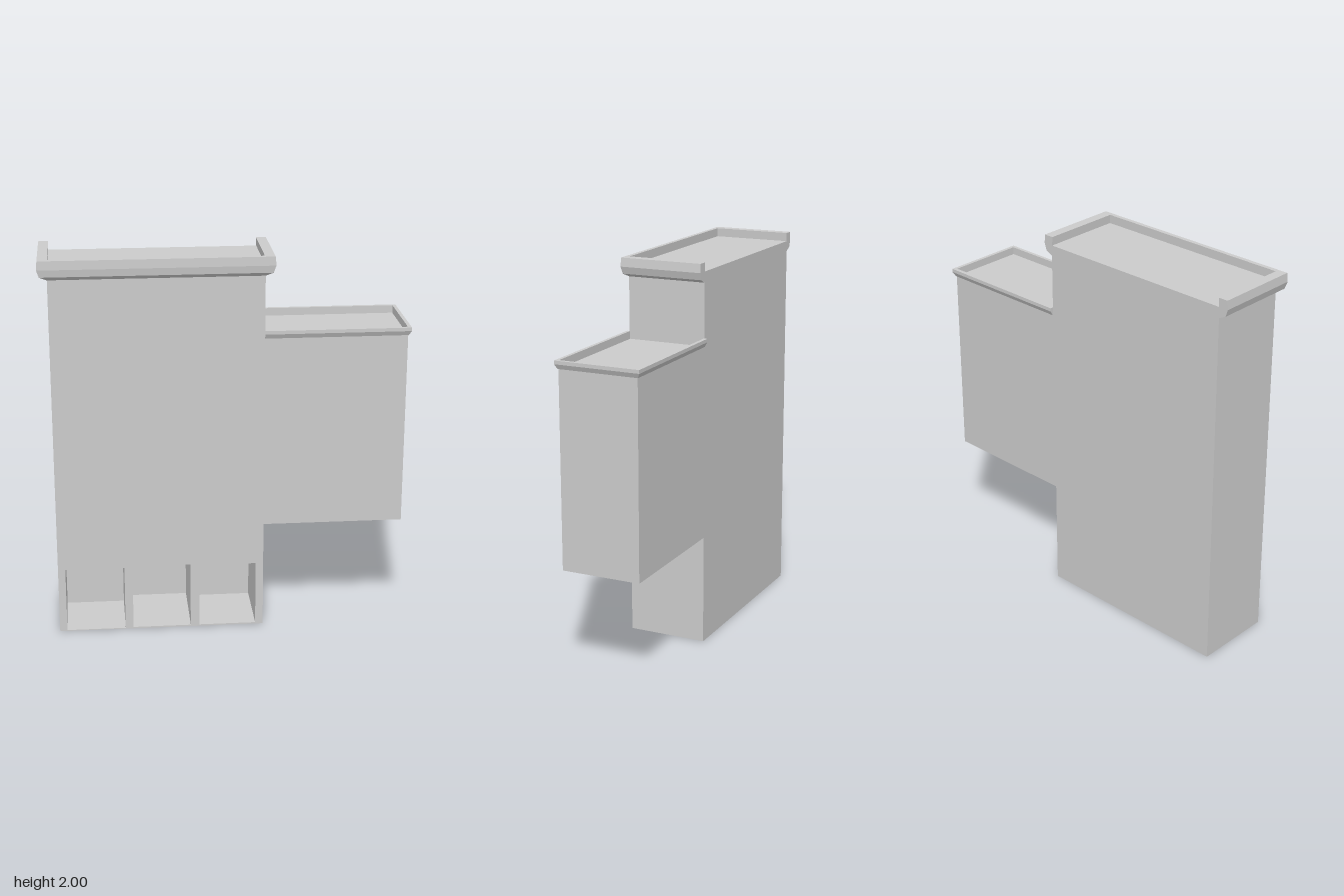
import * as THREE from 'three';

const BACK = -0.212, FRONT = 0.205;

// Sweeps a convex profile of [out, y] along a path of [x, z, outX, outZ] corners.
function sweep(path, profile) {
  const rings = path.map(([x, z, ox, oz]) =>
    profile.map(([o, y]) => [x + o * ox, y, z + o * oz]));
  const pos = [];
  const tri = (a, b, c) => pos.push(...a, ...b, ...c);
  const n = profile.length;
  for (let i = 0; i < rings.length - 1; i++) {
    for (let j = 0; j < n; j++) {
      const k = (j + 1) % n, p = rings[i], q = rings[i + 1];
      tri(p[j], q[j], q[k]);
      tri(p[j], q[k], p[k]);
    }
  }
  const s = rings[0], e = rings[rings.length - 1];
  for (let j = 1; j < n - 1; j++) {
    tri(s[0], s[j], s[j + 1]);
    tri(e[0], e[j + 1], e[j]);
  }
  const g = new THREE.BufferGeometry();
  g.setAttribute('position', new THREE.Float32BufferAttribute(pos, 3));
  g.computeVertexNormals();
  return g;
}

// Outline of the tall block with the overhanging wing
function outline() {
  return new THREE.Shape([
    [-0.88, 0], [0.193, 0], [0.193, 0.573], [0.917, 0.573],
    [0.917, 1.58], [0.193, 1.58], [0.193, 1.955], [-0.88, 1.955],
  ].map(([x, y]) => new THREE.Vector2(x, y)));
}

export function createModel() {
  const group = new THREE.Group();
  const material = new THREE.MeshStandardMaterial({ color: 0xcccccc, flatShading: true });
  const add = (name, geometry) => {
    const mesh = new THREE.Mesh(geometry, material);
    mesh.name = name;
    group.add(mesh);
    return mesh;
  };
  const extrude = (shape, z0, z1) =>
    new THREE.ExtrudeGeometry(shape, { depth: z1 - z0, bevelEnabled: false }).translate(0, 0, z0);

  // Ground-floor openings: x0, x1, y0, y1, z of the back wall
  const openings = [
    [-0.842, -0.535, 0.005, 0.352, -0.125],
    [-0.493, -0.19, 0.008, 0.358, -0.185],
    [-0.144, 0.153, 0.008, 0.352, -0.155],
  ];
  const slabZ = -0.185;

  // Building walls, pierced by the openings and closed by a back slab
  const pierced = outline();
  for (const [x0, x1, y0, y1, z] of openings) {
    pierced.holes.push(new THREE.Path([
      [x0, y0], [x0, y1], [x1, y1], [x1, y0],
    ].map(([x, y]) => new THREE.Vector2(x, y))));
    if (z > slabZ) {
      add('openingBack', new THREE.BoxGeometry(x1 - x0, y1 - y0, z - slabZ))
        .position.set((x0 + x1) / 2, (y0 + y1) / 2, (z + slabZ) / 2);
    }
  }
  add('building', extrude(pierced, slabZ, FRONT));
  add('backWall', extrude(outline(), BACK, slabZ));

  // Rounded parapet on three sides of the main roof, open at the back
  add('mainCornice', sweep(
    [[-0.88, BACK, -0.05, 0], [-0.88, FRONT, -0.05, 0.022],
      [0.193, FRONT, 0.05, 0.022], [0.193, BACK, 0.05, 0]],
    [[0, 1.9], [0.75, 1.918], [1, 1.955], [0.92, 2], [-0.1, 2], [-0.05, 1.95]]));

  // Thin parapet around the wing roof
  add('wingCornice', sweep(
    [[0.193, FRONT, 0, 0.015], [0.917, FRONT, 0.015, 0.015],
      [0.917, BACK, 0.015, -0.016], [0.193, BACK, 0, -0.016]],
    [[-0.2, 1.578], [0.2, 1.578], [1, 1.602], [1, 1.62], [-0.2, 1.62]]));

  return group;
}
